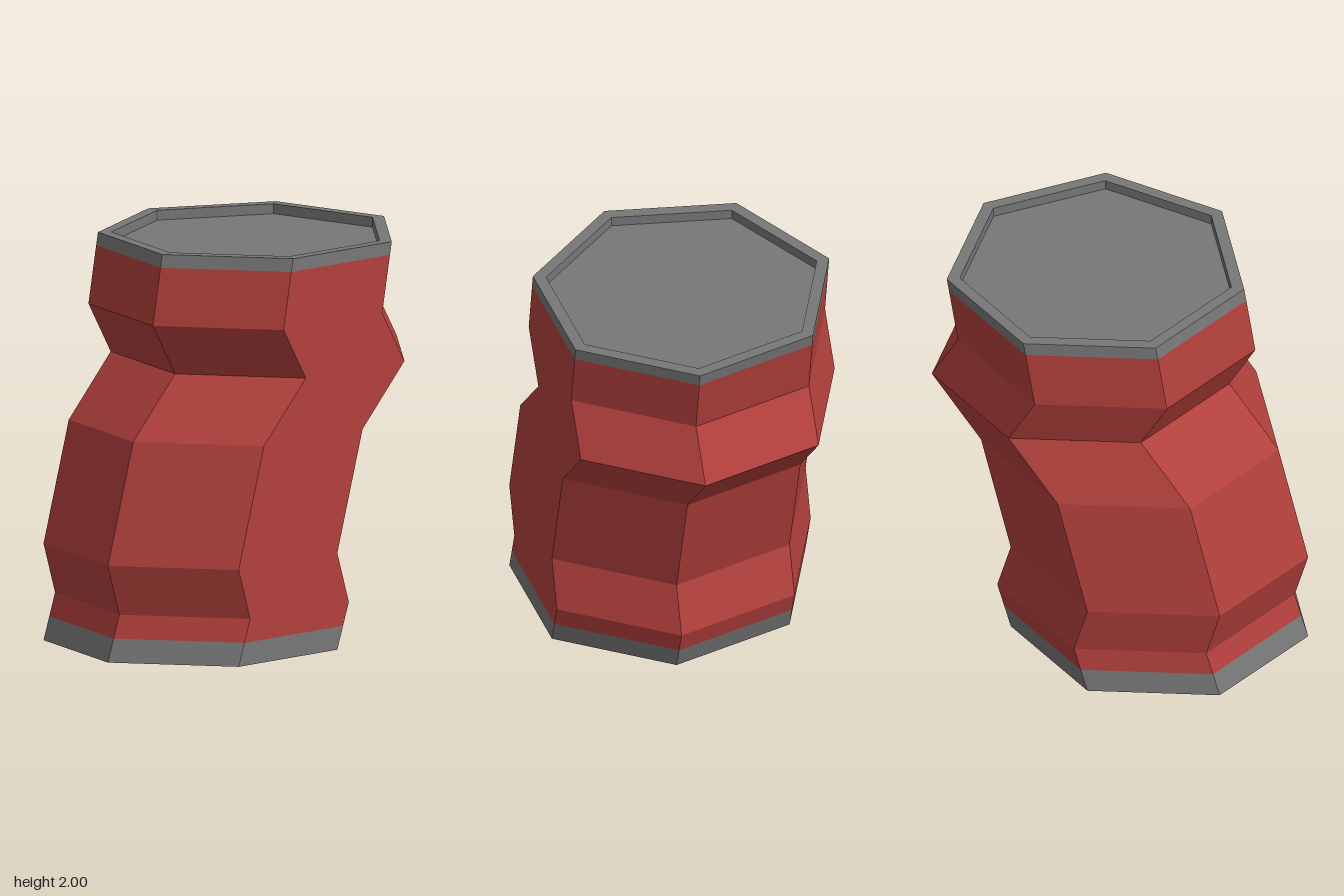
import * as THREE from 'three';

const SIDES = 7, RADIUS = 0.752, INNER = 0.687, CENTRE_Z = 0.035, RECESS = 0.05;

// Corner i of a heptagonal ring [y, centre x, radius], counted from the back
function corner([y, x, r], i) {
  const a = (i / SIDES) * Math.PI * 2;
  return [x + r * Math.sin(a), y, CENTRE_Z - r * Math.cos(a)];
}

// Skin a list of rings with flat faces; a ring of radius 0 closes to a point
function loft(name, rings, color) {
  const pos = [];
  for (let k = 0; k < rings.length - 1; k++) {
    const low = rings[k], high = rings[k + 1];
    for (let i = 0; i < SIDES; i++) {
      const a = corner(low, i), b = corner(low, i + 1);
      const c = corner(high, i), d = corner(high, i + 1);
      if (low[2] > 0) pos.push(...a, ...c, ...b);
      if (high[2] > 0) pos.push(...b, ...c, ...d);
    }
  }
  const geo = new THREE.BufferGeometry();
  geo.setAttribute('position', new THREE.Float32BufferAttribute(pos, 3));
  geo.computeVertexNormals();
  const mesh = new THREE.Mesh(geo, new THREE.MeshStandardMaterial({ color, flatShading: true }));
  mesh.name = name;
  return mesh;
}

export function createModel() {
  const group = new THREE.Group();
  group.name = 'crumpledCan';
  const grey = 0x777777, red = 0xb2403c;

  // Crumpled body: the section slides sideways from level to level
  const body = [
    [0.115, -0.184], [0.23, -0.146], [0.485, -0.222], [1.085, -0.055],
    [1.39, 0.222], [1.65, 0.075], [1.935, 0.126],
  ].map(([y, x]) => [y, x, RADIUS]);
  group.add(loft('canBody', body, red));

  // Bottom end: recessed base, rim and side band
  const bx = -0.222;
  group.add(loft('bottomEnd', [
    [RECESS, bx, 0], [RECESS, bx, INNER], [0, bx, INNER], [0, bx, RADIUS], body[0],
  ], grey));

  // Top end: side band, rim and recessed lid
  const tx = 0.138;
  group.add(loft('topEnd', [
    body[body.length - 1], [2, tx, RADIUS], [2, tx, INNER], [2 - RECESS, tx, INNER], [2 - RECESS, tx, 0],
  ], grey));

  return group;
}
